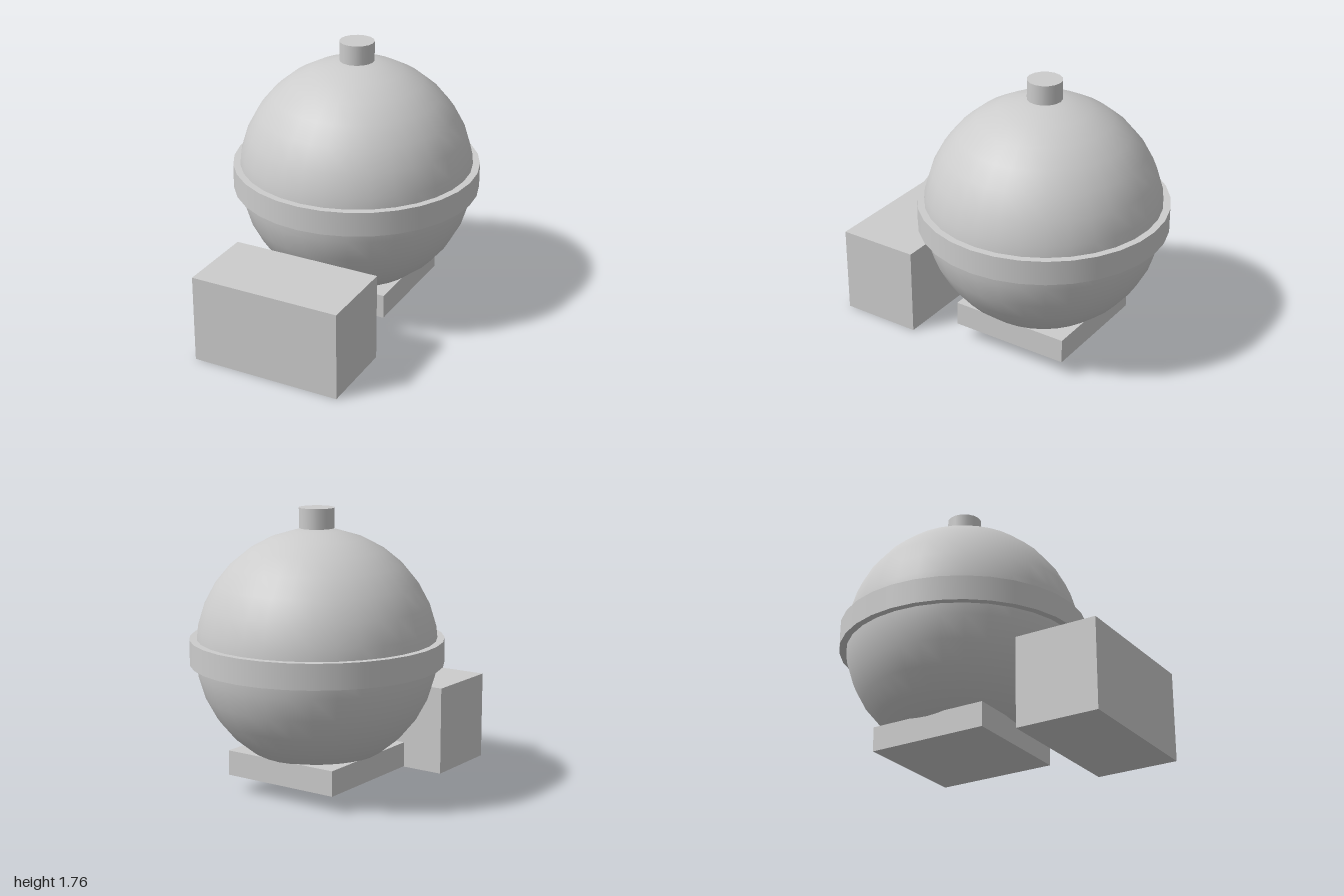
import * as THREE from 'three';

export function createModel() {
  const model = new THREE.Group();
  const grey = new THREE.MeshStandardMaterial({ color: 0xcccccc });
  grey.name = 'light grey';

  const add = (name, geometry, y, z) => {
    const mesh = new THREE.Mesh(geometry, grey);
    mesh.name = name;
    mesh.position.set(0, y, z);
    model.add(mesh);
  };

  const bodyZ = -0.213; // shared axis of globe, band, cap and base

  // Round body sunk into its square base
  add('globe', new THREE.SphereGeometry(0.75, 32, 16), 0.887, bodyZ);
  add('base', new THREE.BoxGeometry(0.787, 0.157, 0.787), 0.183, bodyZ);

  // Band around the equator and cap on top
  add('equatorBand', new THREE.CylinderGeometry(0.787, 0.787, 0.157, 32), 0.887, bodyZ);
  add('topCap', new THREE.CylinderGeometry(0.11, 0.11, 0.125, 16), 1.7025, bodyZ);

  // Separate block in front
  add('frontBlock', new THREE.BoxGeometry(0.975, 0.567, 0.53), 0.2835, 0.735);

  return model;
}
